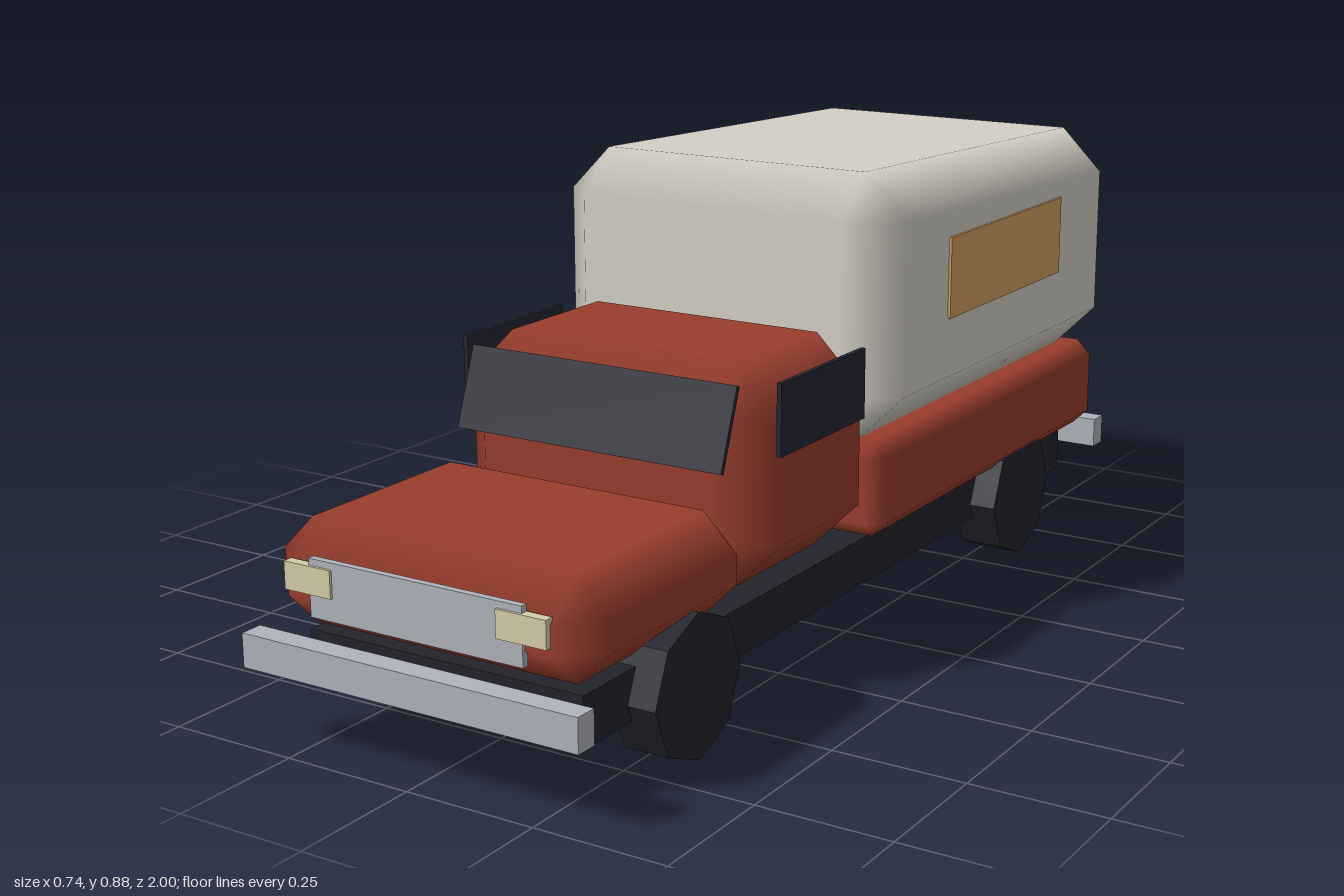
import * as THREE from 'three';

const paint = (name, color) => {
  const m = new THREE.MeshStandardMaterial({ color });
  m.name = name;
  return m;
};

// Box with single-step bevels; flat faces keep axis normals so bevels shade smoothly.
function bevelBox(w, h, d, r) {
  const geo = new THREE.BoxGeometry(w, h, d);
  const pos = geo.attributes.position, nor = geo.attributes.normal;
  const index = Array.from(geo.index.array);
  const corner = {}; // key: corner signs + face axis -> vertex
  const P = [];
  for (let i = 0; i < pos.count; i++) {
    const p = new THREE.Vector3().fromBufferAttribute(pos, i);
    const n = new THREE.Vector3().fromBufferAttribute(nor, i);
    const s = p.toArray().map(Math.sign);
    const axis = n.toArray().findIndex(v => Math.abs(v) > 0.5);
    corner[s.join() + ':' + axis] = i;
    p.set(p.x - s[0] * r, p.y - s[1] * r, p.z - s[2] * r).addScaledVector(n, r);
    pos.setXYZ(i, p.x, p.y, p.z);
    P.push(p);
  }
  // Add a triangle facing away from the centre
  const tri = (a, b, c) => {
    const n = P[b].clone().sub(P[a]).cross(P[c].clone().sub(P[a]));
    if (n.dot(P[a]) > 0) index.push(a, b, c);
    else index.push(a, c, b);
  };
  const at = (s, axis) => corner[s.join() + ':' + axis];
  for (const x of [-1, 1]) for (const y of [-1, 1]) for (const z of [-1, 1]) {
    const s = [x, y, z];
    tri(at(s, 0), at(s, 1), at(s, 2));
    for (let k = 0; k < 3; k++) {
      if (s[k] < 0) continue;
      const t = s.slice();
      t[k] = -1;
      const b = (k + 1) % 3, c = (k + 2) % 3;
      tri(at(s, b), at(s, c), at(t, c));
      tri(at(s, b), at(t, c), at(t, b));
    }
  }
  geo.setIndex(index);
  geo.clearGroups();
  return geo;
}

export function createModel() {
  const truck = new THREE.Group();
  truck.name = 'camperTruck';

  const red = paint('bodyRed', 0x983d2d);
  const shell = paint('camperIvory', 0xd3cfc5);
  const glass = paint('darkGlass', 0x252532);
  const dark = paint('chassisBlack', 0x22232c);
  const metal = paint('bumperGrey', 0xb0b3bc);
  const cream = paint('headlightCream', 0xd5cca8);
  const amber = paint('amberWindow', 0xd2a060);
  const lamp = paint('tailLightRed', 0xb81f24);

  const add = (name, geo, mat, x, y, z) => {
    const mesh = new THREE.Mesh(geo, mat);
    mesh.name = name;
    mesh.position.set(x, y, z);
    truck.add(mesh);
    return mesh;
  };
  // Parts are given by their extents on each axis
  const span = (name, mat, x0, x1, y0, y1, z0, z1, r = 0) => {
    const size = [x1 - x0, y1 - y0, z1 - z0];
    const geo = r ? bevelBox(...size, r) : new THREE.BoxGeometry(...size);
    return add(name, geo, mat, (x0 + x1) / 2, (y0 + y1) / 2, (z0 + z1) / 2);
  };

  // Chassis and bodywork
  span('chassis', dark, -0.28, 0.28, 0.1, 0.19, -0.9, 0.9);
  span('hood', red, -0.333, 0.333, 0.205, 0.39, 0.465, 0.962, 0.066);
  span('cab', red, -0.33, 0.33, 0.205, 0.605, 0.015, 0.465, 0.09);
  span('bed', red, -0.34, 0.34, 0.205, 0.39, -0.945, 0.045, 0.03);

  // Camper shell, its roof sloping down to the back
  const camper = span('camperShell', shell, -0.365, 0.365, 0.39, 0.888, -0.957, 0.09, 0.086);
  const cp = camper.geometry.attributes.position;
  for (let i = 0; i < cp.count; i++) {
    if (cp.getY(i) > 0) cp.setY(i, cp.getY(i) - 0.035 * (0.5235 - cp.getZ(i)));
  }

  // Camper windows
  span('camperLeftWindow', amber, 0.363, 0.37, 0.59, 0.745, -0.665, -0.17);
  span('camperRightWindow', glass, -0.37, -0.363, 0.59, 0.745, -0.665, -0.17);
  span('camperRearWindow', glass, -0.25, 0.25, 0.53, 0.778, -0.965, -0.956);

  // Tilted windshield
  const windshield = add('windshield', new THREE.BoxGeometry(0.556, 0.152, 0.009), glass, 0, 0.513, 0.463);
  windshield.rotation.x = -0.35;

  // Front face and bumpers
  span('grille', metal, -0.215, 0.215, 0.245, 0.347, 0.955, 0.968);
  span('frontBumper', metal, -0.34, 0.34, 0.142, 0.203, 0.957, 1);
  span('rearBumper', metal, -0.34, 0.34, 0.142, 0.203, -1, -0.957);

  // Mirrored parts
  const wheelGeo = new THREE.CylinderGeometry(0.13, 0.13, 0.087, 8).rotateZ(Math.PI / 2).toNonIndexed();
  wheelGeo.computeVertexNormals();
  for (const [side, s] of [['left', 1], ['right', -1]]) {
    const pair = (name, mat, x0, x1, ...rest) =>
      span(side + name, mat, Math.min(s * x0, s * x1), Math.max(s * x0, s * x1), ...rest);
    pair('CabWindow', glass, 0.328, 0.337, 0.457, 0.587, 0.1, 0.395);
    pair('Headlight', cream, 0.167, 0.264, 0.286, 0.335, 0.955, 0.973);
    pair('TailLight', lamp, 0.275, 0.31, 0.27, 0.355, -0.969, -0.957);
    add(side + 'FrontWheel', wheelGeo, dark, s * 0.29, 0.13, 0.65);
    add(side + 'RearWheel', wheelGeo, dark, s * 0.29, 0.13, -0.595);
  }
  return truck;
}
